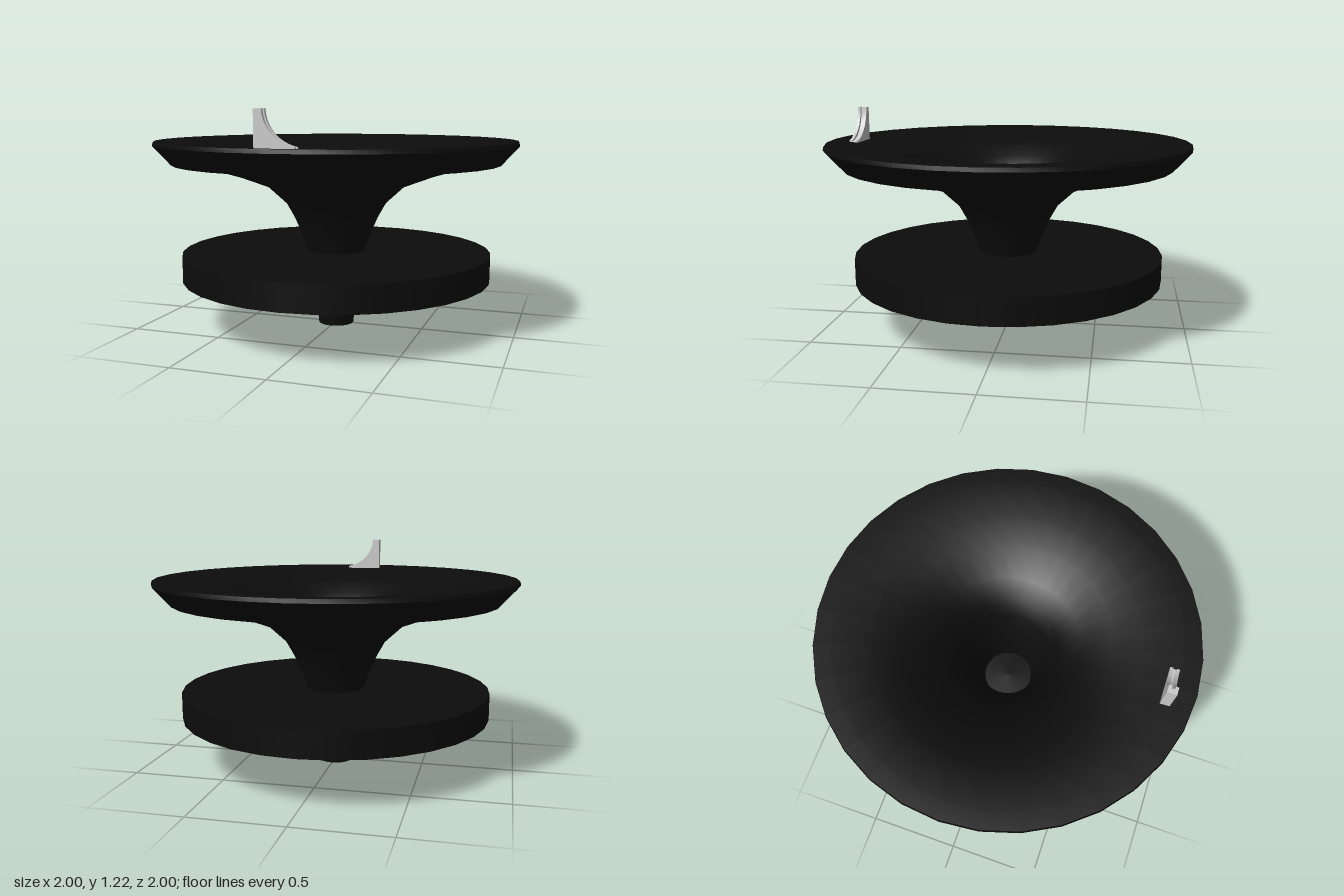
import * as THREE from 'three';
import { toCreasedNormals } from 'three/addons/utils/BufferGeometryUtils.js';

const SIDES = 32;
const black = new THREE.MeshStandardMaterial({ color: 0x0c0c0c });
const grey = new THREE.MeshStandardMaterial({ color: 0xcccccc });

function addMesh(parent, name, geometry, material) {
  const mesh = new THREE.Mesh(geometry, material);
  mesh.name = name;
  parent.add(mesh);
  return mesh;
}

// Trumpet-shaped body: flared underside, bevelled rim, hollow dish with a flat floor
function bodyGeometry() {
  const flare = [
    [0.098, 0], [0.128, 0.27], [0.157, 0.417], [0.2, 0.53], [0.235, 0.61],
    [0.28, 0.69], [0.385, 0.786], [0.556, 0.85], [0.7, 0.893], [0.905, 0.915],
  ];
  const wall = 0.122;
  const inside = flare.map(([r, y]) => [r, y + wall]).reverse();
  const profile = [[0, 0], ...flare, [1, 1.02], [0.995, 1.04], ...inside, [0, wall]];
  const lathe = new THREE.LatheGeometry(profile.map(([r, y]) => new THREE.Vector2(r, y)), SIDES);
  return toCreasedNormals(lathe, 0.6);
}

// One layer of the fin: upright back edge with a concave slope, lowered by inset
function finLayer(depth, inset) {
  const shape = new THREE.Shape();
  const bottom = 1.03;
  shape.moveTo(-0.1, bottom);
  shape.lineTo(0.1, bottom);
  shape.lineTo(0.1 - inset * 0.3, 1.042 - inset * 0.3);
  shape.bezierCurveTo(0.02 - inset, 1.055 - inset, -0.055 - inset, 1.12 - inset, -0.06 - inset, 1.215);
  shape.lineTo(-0.1, 1.215);
  shape.closePath();
  const geometry = new THREE.ExtrudeGeometry(shape, { depth, bevelEnabled: false, curveSegments: 10 });
  return toCreasedNormals(geometry, 0.5);
}

export function createModel() {
  const model = new THREE.Group();
  model.name = 'spinningDish';

  addMesh(model, 'dishBody', bodyGeometry(), black);

  // Flat disc around the stem
  const disc = addMesh(model, 'lowerDisc', new THREE.CylinderGeometry(0.86, 0.86, 0.145, SIDES), black);
  disc.position.y = 0.348;

  // Small fin on the rim: two cheeks with a groove between them
  const fin = new THREE.Group();
  fin.name = 'rimFin';
  for (const [name, z, depth, inset] of [
    ['finBackCheek', 0.83, 0.016, 0],
    ['finCore', 0.846, 0.018, 0.015],
    ['finFrontCheek', 0.864, 0.016, 0],
  ]) {
    addMesh(fin, name, finLayer(depth, inset), grey).position.z = z;
  }
  model.add(fin);

  return model;
}
